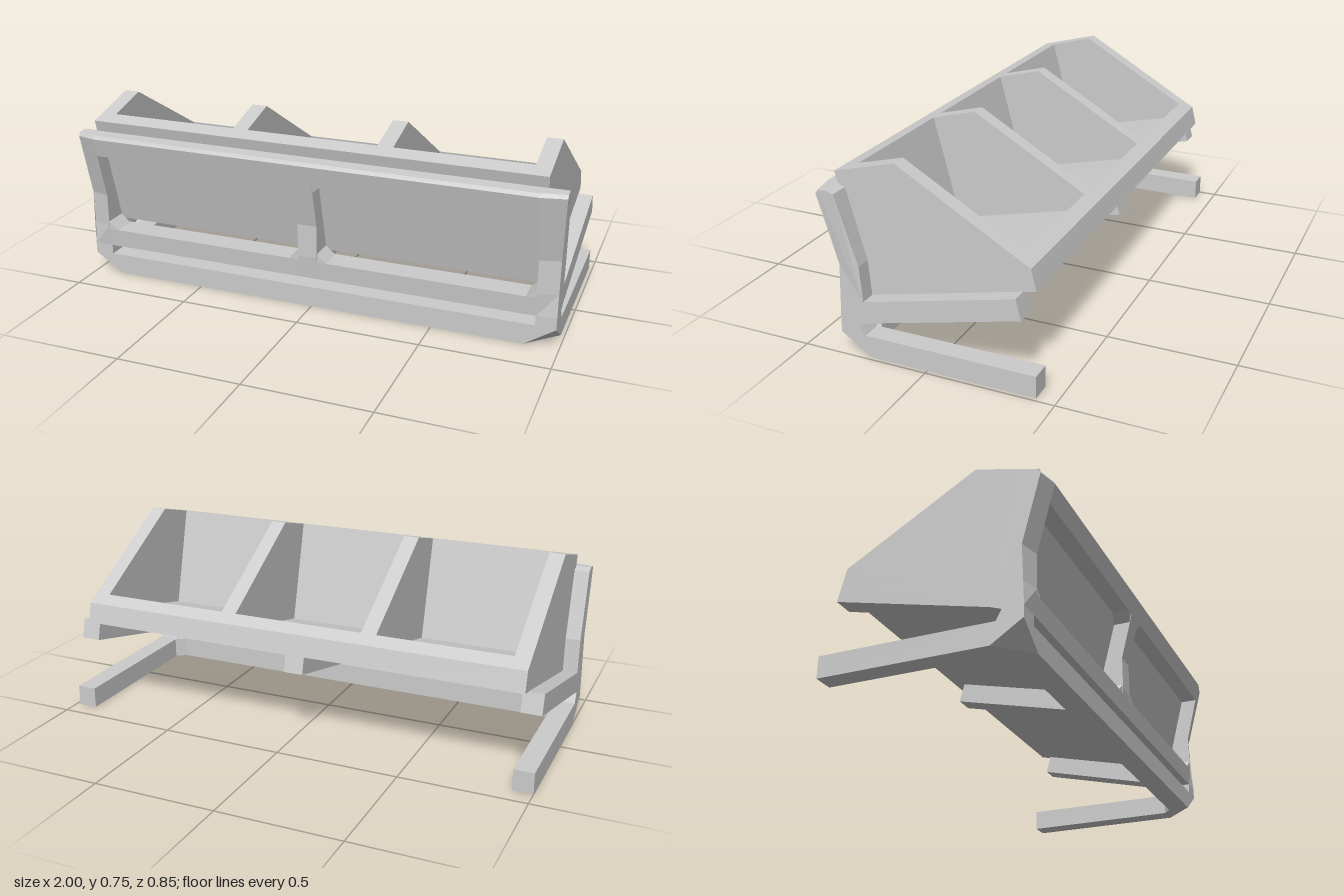
import * as THREE from 'three';
import { ConvexGeometry } from 'three/addons/geometries/ConvexGeometry.js';

const material = new THREE.MeshStandardMaterial({ color: 0xcccccc, flatShading: true });

// Extrude a side profile of [z, y] points from x0 to x1.
function slab(profile, x0, x1) {
  const shape = new THREE.Shape(profile.map(([z, y]) => new THREE.Vector2(-z, y)));
  const geo = new THREE.ExtrudeGeometry(shape, { depth: x1 - x0, bevelEnabled: false });
  return geo.rotateY(Math.PI / 2).translate(x0, 0, 0);
}

export function createModel() {
  const group = new THREE.Group();
  const add = (name, geo) => {
    const mesh = new THREE.Mesh(geo, material);
    mesh.name = name;
    group.add(mesh);
  };

  const L = -1, R = 0.985, W = 0.08; // frame ends and post width
  const midL = -0.05, midR = 0.03;

  // Tilted bin: dividers, with one floor-and-walls section per bay
  const divider = [[0.375, 0.685], [0.13, 0.75], [-0.38, 0.455], [-0.4, 0.375], [0.255, 0.217]];
  const tray = [[0.375, 0.685], [0.312, 0.702], [0.205, 0.291], [-0.342, 0.423], [-0.33, 0.484],
    [-0.38, 0.455], [-0.4, 0.375], [0.255, 0.217]];
  const walls = [[-0.94, -0.877], [-0.342, -0.279], [0.261, 0.324], [0.862, 0.925]];
  walls.forEach(([a, b], i) => {
    add('binDivider', slab(divider, a, b));
    if (i < 3) add('binTray', slab(tray, b, walls[i + 1][0]));
  });

  // Posts with the tilted arms that carry the bin
  const upright = [[0.27, 0.125], [0.23, 0.14], [-0.37, 0.287], [-0.35, 0.365], [0.25, 0.222],
    [0.26, 0.36], [0.335, 0.63], [0.365, 0.64], [0.418, 0.636], [0.427, 0.622], [0.36, 0.355],
    [0.36, 0.22], [0.35, 0.125]];
  const sidePost = [[0.35, 0.085], [0.25, 0.085], ...upright];
  add('middlePost', slab(upright, midL, midR));
  for (const side of [-1, 1]) {
    const outer = side < 0 ? L : R;
    const geo = slab(sidePost, side < 0 ? L : R - W, side < 0 ? L + W : R);
    // Set back the outer front edge, and flare the left post at the top
    const p = geo.attributes.position;
    for (let i = 0; i < p.count; i++) {
      if (Math.abs(p.getX(i) - outer) > 0.01) continue;
      const y = p.getY(i), z = p.getZ(i);
      if (y > 0.2 && z > 0.358 && z - 0.355 > (y - 0.355) * 0.2) p.setZ(i, z - 0.02);
      if (side > 0 && y > 0.6) p.setX(i, 1);
    }
    geo.computeVertexNormals();
    add('sidePost', geo);

    // Floor foot
    add('foot', new THREE.BoxGeometry(W, 0.085, 0.655)
      .translate(outer - side * W / 2, 0.0425, -0.0975));

    // Bottom corner block with the cut-off corner
    const v = (inset, y, z) => new THREE.Vector3(outer - side * inset, y, z);
    add('cornerBlock', new ConvexGeometry([
      v(0, 0, 0.23), v(W, 0, 0.23), v(0.12, 0, 0.26), v(0.12, 0, 0.35),
      v(0, 0.08, 0.35), v(0, 0.085, 0.35), v(0, 0.085, 0.23), v(W, 0.085, 0.23),
      v(0.12, 0.085, 0.26), v(0.12, 0.085, 0.35)]));
  }

  // Front rails
  const lowRail = [[0.26, 0], [0.35, 0], [0.35, 0.085], [0.26, 0.085]];
  const midRail = [[0.27, 0.125], [0.35, 0.125], [0.358, 0.202], [0.255, 0.202]];
  const topRail = [[0.311, 0.545], [0.335, 0.63], [0.365, 0.64], [0.418, 0.636], [0.427, 0.622],
    [0.4077, 0.545]];
  add('bottomRail', slab(lowRail, L + 0.12, R - 0.12));
  for (const [a, b] of [[L + W, midL], [midR, R - W]]) {
    add('middleRail', slab(midRail, a, b));
    add('topRail', slab(topRail, a, b));
  }

  // Triangular fillets in the window corners: x, y, x direction, y direction
  const fillets = [[L + W, 0.202, 1, 1], [midL, 0.202, -1, 1], [midR, 0.202, 1, 1],
    [R - W, 0.202, -1, 1], [midL, 0.545, -1, -1], [midR, 0.545, 1, -1]];
  for (const [x, y, dx, dy] of fillets) {
    const pts = [];
    for (const [px, py] of [[x, y], [x + dx * 0.04, y], [x, y + dy * 0.035]]) {
      const lean = Math.max(0, py - 0.355) * 0.25;
      pts.push(new THREE.Vector3(px, py, 0.262 + lean), new THREE.Vector3(px, py, 0.358 + lean));
    }
    add('windowFillet', new ConvexGeometry(pts));
  }

  return group;
}
